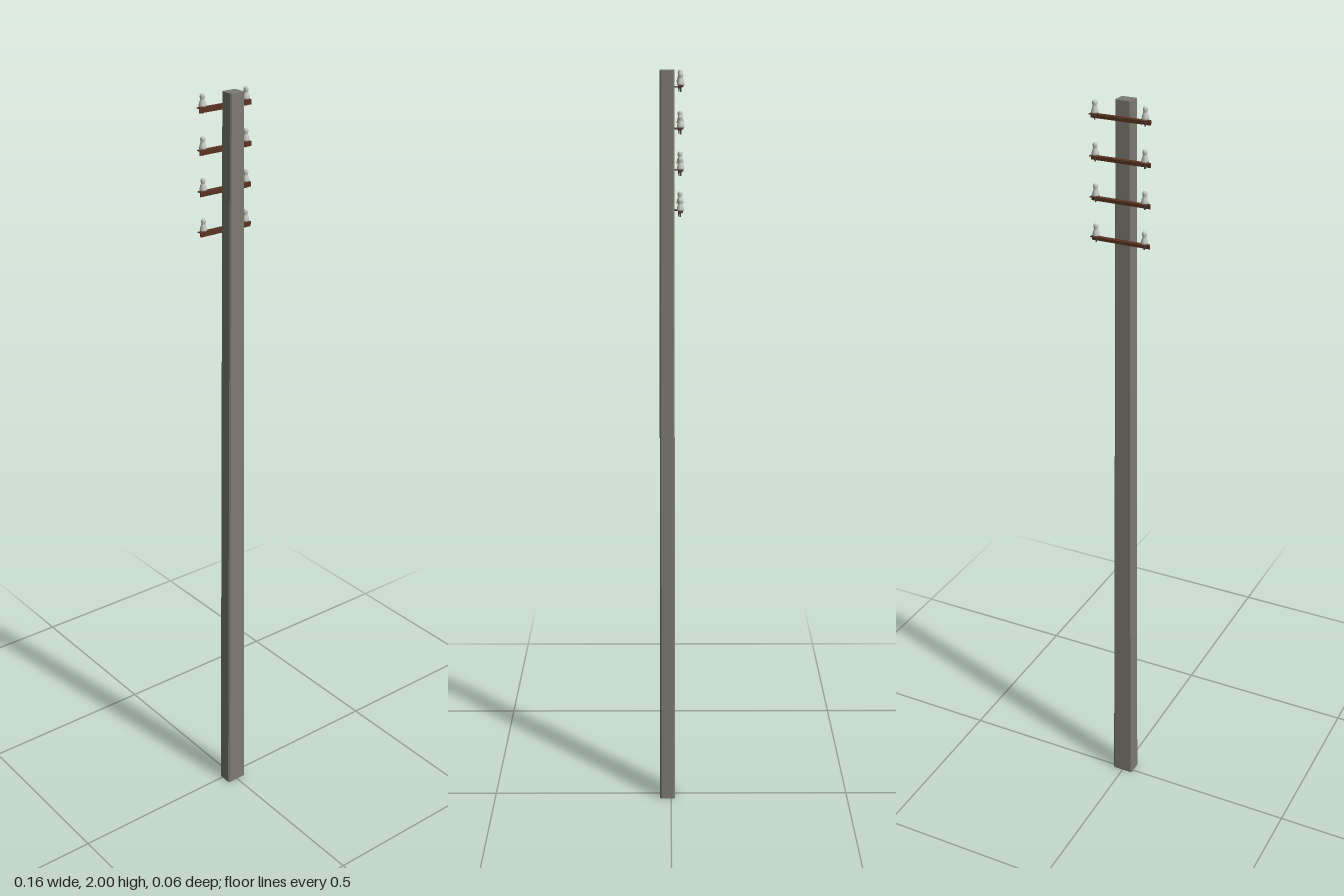
import * as THREE from 'three';

const concrete = new THREE.MeshStandardMaterial({ name: 'concrete', color: 0x7d7c72 });
const rust = new THREE.MeshStandardMaterial({ name: 'rustySteel', color: 0x5a3322 });
const steel = new THREE.MeshStandardMaterial({ name: 'darkSteel', color: 0x4a4a48 });
const porcelain = new THREE.MeshStandardMaterial({ name: 'porcelain', color: 0xc4c6c0 });

function add(parent, name, geometry, material, x = 0, y = 0, z = 0) {
  const mesh = new THREE.Mesh(geometry, material);
  mesh.name = name;
  mesh.position.set(x, y, z);
  parent.add(mesh);
  return mesh;
}

// Tapered pole with chamfered corners
function poleGeometry() {
  const w = 0.03, d = 0.0215, c = 0.004;
  const shape = new THREE.Shape([
    [w - c, -d], [w, -d + c], [w, d - c], [w - c, d],
    [-w + c, d], [-w, d - c], [-w, -d + c], [-w + c, -d],
  ].map(([x, y]) => new THREE.Vector2(x, y)));
  const geo = new THREE.ExtrudeGeometry(shape, { depth: 2, bevelEnabled: false });
  geo.rotateX(-Math.PI / 2);
  const p = geo.attributes.position;
  for (let i = 0; i < p.count; i++) {
    const t = p.getY(i) / 2;
    p.setX(i, p.getX(i) * (1 - 0.32 * t));
    p.setZ(i, p.getZ(i) * (1 - 0.16 * t));
  }
  geo.computeVertexNormals();
  return geo;
}

// Bell-shaped insulator: skirt, waist and rounded head
const insulatorGeometry = new THREE.LatheGeometry([
  [0, 0.004], [0.006, 0.003], [0.009, 0.003], [0.0092, 0.006], [0.007, 0.014],
  [0.0055, 0.018], [0.0048, 0.021], [0.0062, 0.024], [0.006, 0.029], [0.004, 0.032], [0, 0.033],
].map(([x, y]) => new THREE.Vector2(x, y)), 14);

function crossarm() {
  const arm = new THREE.Group();
  arm.name = 'crossarm';
  // Angle iron: flat flange on top, upright flange beside the pole
  add(arm, 'topFlange', new THREE.BoxGeometry(0.155, 0.002, 0.012), rust, 0, 0.005, -0.0235);
  add(arm, 'uprightFlange', new THREE.BoxGeometry(0.155, 0.012, 0.002), rust, 0, 0, -0.0185);
  add(arm, 'mountingBolt', new THREE.CylinderGeometry(0.002, 0.002, 0.014, 8).rotateX(Math.PI / 2), steel, 0, 0, -0.0145);
  for (const side of [-1, 1]) {
    const x = side * 0.065, z = -0.0228;
    add(arm, 'insulator', insulatorGeometry, porcelain, x, 0.005, z);
    add(arm, 'insulatorPin', new THREE.CylinderGeometry(0.002, 0.002, 0.018, 8), steel, x, 0.001, z);
    add(arm, 'pinNut', new THREE.CylinderGeometry(0.0032, 0.0032, 0.003, 6), steel, x, 0.0025, z);
  }
  return arm;
}

export function createModel() {
  const model = new THREE.Group();
  model.name = 'utilityPole';
  add(model, 'pole', poleGeometry(), concrete, 0, 0, 0.0102);
  for (let i = 0; i < 4; i++) {
    const arm = crossarm();
    arm.position.y = 1.66 + i * 0.1;
    model.add(arm);
  }
  return model;
}
